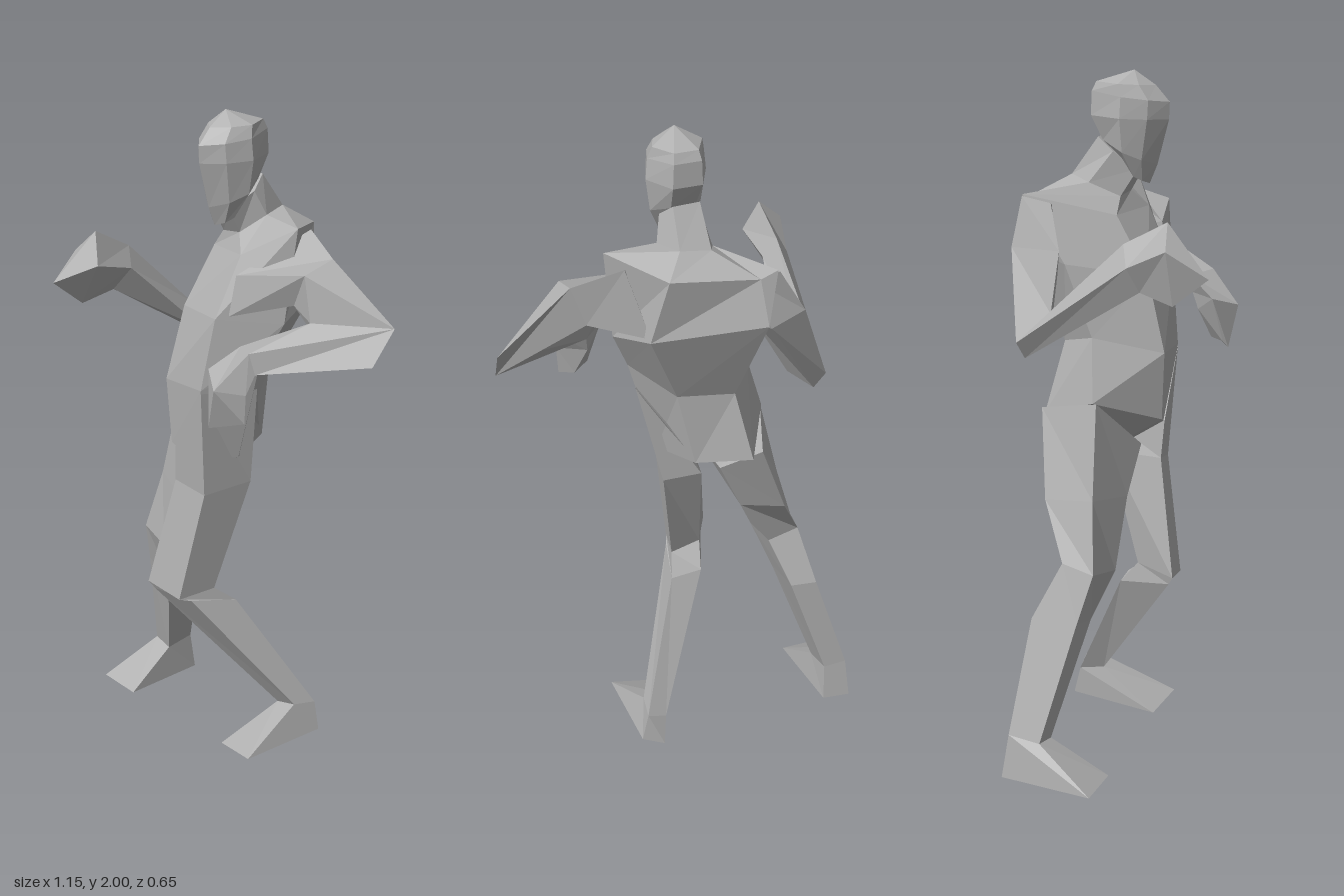
import * as THREE from 'three';

const grey = new THREE.MeshStandardMaterial({ color: 0xb0b0b0, flatShading: true });
grey.name = 'plain grey';

// Skin a closed surface over cross-sections of equal corner count.
function loft(name, rings) {
  const tris = [];
  const add = (a, b, c) => tris.push([a, b, c].map((p) => new THREE.Vector3(...p)));
  const n = rings[0].length;
  const middle = (ring) => [0, 1, 2].map((k) => ring.reduce((s, p) => s + p[k], 0) / n);
  for (let i = 0; i < rings.length - 1; i++) {
    for (let j = 0; j < n; j++) {
      const k = (j + 1) % n;
      const [a, b, c, d] = [rings[i][j], rings[i][k], rings[i + 1][k], rings[i + 1][j]];
      add(a, b, c);
      add(a, c, d);
    }
  }
  // End caps
  const first = rings[0], last = rings[rings.length - 1];
  for (let j = 0; j < n; j++) {
    const k = (j + 1) % n;
    add(middle(first), first[k], first[j]);
    add(middle(last), last[j], last[k]);
  }
  const solid = tris.filter(([a, b, c]) =>
    b.clone().sub(a).cross(c.clone().sub(a)).length() > 1e-7);
  // Turn the faces outwards whichever way the corners run
  const o = new THREE.Vector3(...middle(first));
  const volume = solid.reduce((s, [a, b, c]) =>
    s + a.clone().sub(o).dot(b.clone().sub(o).cross(c.clone().sub(o))), 0);
  const points = solid.flatMap(([a, b, c]) => (volume < 0 ? [a, c, b] : [a, b, c]));
  const geometry = new THREE.BufferGeometry().setFromPoints(points);
  geometry.computeVertexNormals();
  const mesh = new THREE.Mesh(geometry, grey);
  mesh.name = name;
  return mesh;
}

const point = (p, n) => Array(n).fill(p);

// Limb sections, four corners each; the end piece shares the joint section.
function limb(name, endName, sections, endSections) {
  const group = new THREE.Group();
  group.name = name;
  group.add(loft(name + 'Shaft', sections));
  group.add(loft(endName, [sections[sections.length - 1], ...endSections]));
  return group;
}

function makeHead() {
  // Faceted outline: front, then round by the left side
  const outline = [[0, 1], [0.66, 0.56], [1, -0.1], [0.55, -0.95],
    [-0.4, -1], [-1, -0.1], [-0.66, 0.56]];
  // height, middle z, half width, half depth, fall towards the front
  const levels = [
    [1.695, 0.01, 0.04, 0.035, 0.02],
    [1.765, -0.01, 0.076, 0.078, 0.035],
    [1.865, -0.01, 0.09, 0.112, 0.005],
    [1.925, -0.008, 0.084, 0.112, 0.015],
    [1.962, -0.022, 0.074, 0.085, 0.005],
  ];
  const rings = levels.map(([y, z, w, d, fall]) =>
    outline.map(([u, v]) => [0.007 + u * w, y - v * fall, z + v * d]));
  rings.push(point([0.003, 2, 0], outline.length));
  return loft('head', rings);
}

export function createModel() {
  const model = new THREE.Group();
  model.name = 'figure';

  // Torso: right, front right, front left, left, back left, back right
  const collar = [[-0.06, 1.68, -0.12], [-0.04, 1.64, -0.03], [0.04, 1.65, -0.02],
    [0.09, 1.7, -0.08], [0.06, 1.71, -0.17], [-0.03, 1.7, -0.18]];
  model.add(loft('torso', [
    point([-0.08, 0.91, -0.03], 6),
    [[-0.26, 1.07, -0.05], [-0.11, 1.0, 0.115], [-0.02, 0.96, 0.11],
      [0.06, 0.97, 0], [0, 0.99, -0.15], [-0.15, 1.01, -0.23]],
    [[-0.2, 1.25, -0.07], [-0.12, 1.2, 0.125], [0.035, 1.2, 0.125],
      [0.15, 1.28, 0], [0.05, 1.22, -0.13], [-0.11, 1.22, -0.18]],
    [[-0.2, 1.46, -0.15], [-0.1, 1.42, 0.07], [0.07, 1.42, 0.1],
      [0.21, 1.41, -0.04], [0.16, 1.46, -0.2], [-0.14, 1.51, -0.325]],
    [[-0.185, 1.655, -0.28], [-0.08, 1.59, -0.03], [0.09, 1.6, 0.02],
      [0.24, 1.69, -0.06], [0.12, 1.66, -0.24], [-0.13, 1.64, -0.285]],
    collar,
  ]));

  // Neck
  model.add(loft('neck', [collar,
    [[-0.05, 1.77, -0.05], [-0.03, 1.72, 0.02], [0.04, 1.72, 0.02],
      [0.07, 1.77, -0.05], [0.05, 1.81, -0.1], [-0.03, 1.81, -0.1]]]));
  model.add(makeHead());

  // Right arm, raised forearm and pointed hand
  model.add(limb('rightArm', 'rightHand', [
    [[-0.19, 1.65, -0.28], [-0.17, 1.63, -0.2], [-0.12, 1.6, -0.2], [-0.12, 1.63, -0.28]],
    [[-0.27, 1.515, -0.285], [-0.22, 1.5, -0.16], [-0.17, 1.44, -0.18], [-0.15, 1.5, -0.32]],
    [[-0.37, 1.26, -0.24], [-0.33, 1.34, -0.15], [-0.28, 1.25, -0.17], [-0.34, 1.21, -0.225]],
    [[-0.4, 1.49, 0.09], [-0.355, 1.55, 0.07], [-0.32, 1.49, 0.09], [-0.37, 1.42, 0.12]],
  ], [
    [[-0.435, 1.545, 0.21], [-0.355, 1.615, 0.195], [-0.315, 1.52, 0.22], [-0.395, 1.39, 0.22]],
    point([-0.4, 1.47, 0.322], 4),
  ]));

  // Left arm, elbow out and hand hanging in front
  model.add(limb('leftArm', 'leftHand', [
    [[0.11, 1.55, 0.055], [0.21, 1.67, -0.14], [0.15, 1.46, -0.18], [0.1, 1.43, 0.075]],
    [[0.345, 1.59, 0.014], [0.35, 1.62, -0.09], [0.31, 1.5, -0.1], [0.29, 1.49, 0]],
    [[0.37, 1.46, 0.014], [0.573, 1.465, -0.11], [0.56, 1.365, -0.04], [0.41, 1.39, 0]],
    [[0.2, 1.375, 0.12], [0.29, 1.385, 0.17], [0.305, 1.325, 0.16], [0.23, 1.32, 0.12]],
  ], [
    [[0.155, 1.315, 0.2], [0.245, 1.285, 0.26], [0.3, 1.27, 0.19], [0.22, 1.27, 0.14]],
    [[0.19, 1.18, 0.225], [0.2, 1.16, 0.24], [0.295, 1.185, 0.19], [0.25, 1.18, 0.175]],
  ]));

  // Left leg, bent forward at the knee
  model.add(limb('leftLeg', 'leftFoot', [
    [[-0.09, 0.99, 0.118], [0.035, 1.19, 0.125], [0.13, 1.2, -0.01], [0, 1.0, -0.14]],
    [[-0.1, 0.88, 0.11], [0.02, 0.86, 0.1], [0.06, 0.88, -0.05], [-0.06, 0.88, -0.06]],
    [[-0.17, 0.535, 0.165], [-0.035, 0.515, 0.155], [-0.005, 0.53, 0.04], [-0.1, 0.55, 0.04]],
    [[-0.155, 0.51, 0.15], [-0.02, 0.505, 0.12], [0.022, 0.48, -0.025], [-0.08, 0.48, -0.02]],
    [[0.105, 0.12, -0.13], [0.17, 0.13, -0.14], [0.185, 0.12, -0.215], [0.125, 0.1, -0.215]],
  ], [
    [[0.04, 0.01, 0.05], [0.195, 0.03, 0.078], [0.205, 0.03, -0.215], [0.14, 0.01, -0.24]],
  ]));

  // Right leg, stretched out to the side
  model.add(limb('rightLeg', 'rightFoot', [
    [[-0.26, 1.07, -0.04], [-0.1, 0.92, 0.05], [-0.08, 0.95, -0.15], [-0.18, 1.03, -0.23]],
    [[-0.33, 0.8, -0.03], [-0.18, 0.78, 0.03], [-0.16, 0.78, -0.13], [-0.28, 0.78, -0.19]],
    [[-0.395, 0.6, -0.01], [-0.27, 0.58, 0.02], [-0.27, 0.6, -0.11], [-0.37, 0.62, -0.11]],
    [[-0.425, 0.46, -0.05], [-0.32, 0.44, -0.04], [-0.32, 0.455, -0.18], [-0.4, 0.455, -0.195]],
    [[-0.505, 0.115, -0.14], [-0.43, 0.105, -0.13], [-0.43, 0.12, -0.225], [-0.5, 0.13, -0.235]],
  ], [
    [[-0.575, 0, 0.03], [-0.415, 0, 0.04], [-0.425, 0, -0.24], [-0.51, 0, -0.255]],
  ]));

  return model;
}
